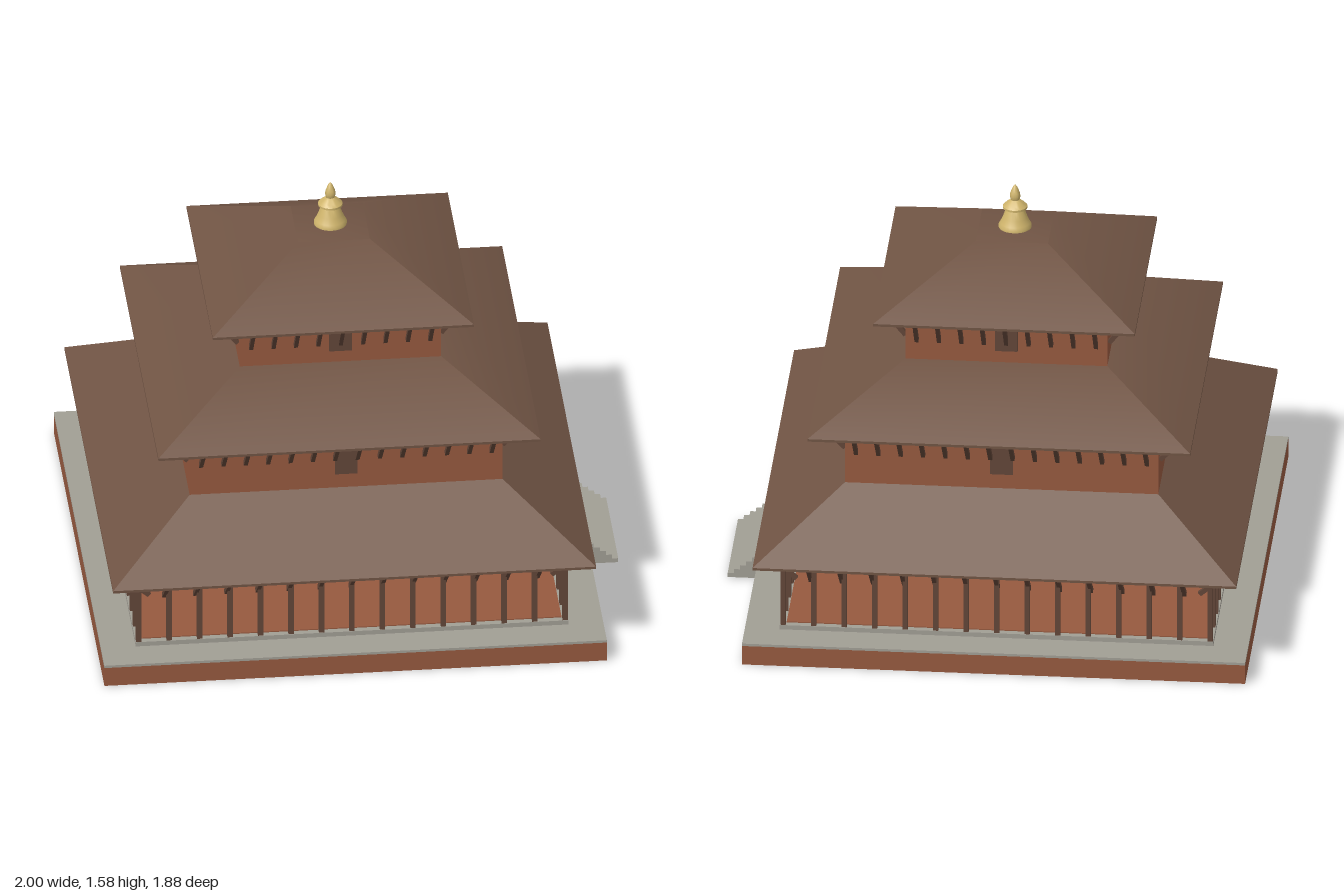
import * as THREE from 'three';
import { toCreasedNormals } from 'three/addons/utils/BufferGeometryUtils.js';

const mat = (name, color) => {
  const m = new THREE.MeshStandardMaterial({ color });
  m.name = name;
  return m;
};

export function createModel() {
  const brick = mat('brick', 0x96593f);
  const stone = mat('stone', 0xa19e94);
  const timber = mat('timber', 0x624638);
  const tile = mat('roof tile', 0x705444);
  const gold = mat('gold', 0xd0b56c);

  const model = new THREE.Group();
  model.name = 'tieredTemple';
  const temple = new THREE.Group();
  temple.name = 'temple';
  temple.position.x = -0.0575;
  model.add(temple);

  const add = (name, geo, material, parent = temple) => {
    const m = new THREE.Mesh(geo, material);
    m.name = name;
    parent.add(m);
    return m;
  };
  const group = (name, parent = temple) => {
    const g = new THREE.Group();
    g.name = name;
    parent.add(g);
    return g;
  };
  // Square slab given by half width and bottom / top heights
  const slab = (name, half, y0, y1, material) => {
    const m = add(name, new THREE.BoxGeometry(half * 2, y1 - y0, half * 2), material);
    m.position.y = (y0 + y1) / 2;
    return m;
  };
  // Four copies of a side, turned around the vertical axis
  const fourSides = (name, build) => {
    const all = group(name);
    for (let i = 0; i < 4; i++) {
      const side = group(name + 'Side', all);
      side.rotation.y = (i * Math.PI) / 2;
      build(side, i);
    }
  };

  // Platform, plinth and gallery floor
  slab('platform', 0.9425, 0, 0.077, brick);
  slab('platformPaving', 0.9425, 0.077, 0.087, stone);
  slab('plinth', 0.812, 0.087, 0.105, stone);
  slab('galleryFloor', 0.788, 0.105, 0.109, brick);

  // Entrance steps on the +x side
  const steps = group('steps');
  for (let i = 0; i < 5; i++) {
    const h = 0.017 * (5 - i);
    const step = add('step', new THREE.BoxGeometry(0.023, h, 0.45), stone, steps);
    step.position.set(0.9425 + 0.023 * (i + 0.5), h / 2, 0);
  }

  // Brick storeys
  slab('groundCore', 0.346, 0.109, 0.37, brick);
  slab('middleStorey', 0.587, 0.58, 0.83, brick);
  slab('upperStorey', 0.378, 1.0, 1.205, brick);

  // Gallery posts, each side leaving its last corner to the next
  fourSides('galleryPosts', (side) => {
    for (let i = 0; i < 14; i++) {
      const post = add('post', new THREE.BoxGeometry(0.02, 0.264, 0.02), timber, side);
      post.position.set(-0.8 + (i * 1.6) / 14, 0.237, 0.8);
    }
  });

  // Hipped roofs with eave board and soffit
  const roof = (name, eave, top, y0, y1) => {
    const geo = new THREE.CylinderGeometry(top * Math.SQRT2, eave * Math.SQRT2, y1 - y0, 4, 1);
    geo.rotateY(Math.PI / 4);
    add(name, toCreasedNormals(geo, THREE.MathUtils.degToRad(32)), tile).position.y = (y0 + y1) / 2;
    slab(name + 'EaveBoard', eave, y0 - 0.01, y0, tile);
    slab(name + 'Soffit', eave - 0.02, y0 - 0.018, y0 - 0.01, timber);
  };
  roof('lowerRoof', 0.906, 0.585, 0.386, 0.6);
  roof('middleRoof', 0.717, 0.378, 0.838, 1.02);
  roof('upperRoof', 0.49, 0.135, 1.215, 1.4);

  // Slanted eave struts: inner foot (r0, y0) to outer head (r1, y1)
  const struts = (name, counts, span, r0, y0, r1, y1) => {
    const len = Math.hypot(r1 - r0, y1 - y0);
    const geo = new THREE.BoxGeometry(0.015, len, 0.018);
    fourSides(name, (side, s) => {
      const n = counts[s % 2];
      const half = span[s % 2];
      for (let i = 0; i < n; i++) {
        const strut = add('strut', geo, timber, side);
        strut.position.set(-half + (2 * half * i) / (n - 1), (y0 + y1) / 2, (r0 + r1) / 2);
        strut.rotation.x = Math.atan2(r1 - r0, y1 - y0);
      }
    });
  };
  struts('lowerStruts', [13, 14], [0.7, 0.745], 0.755, 0.27, 0.88, 0.376);
  struts('middleStruts', [14, 14], [0.545, 0.545], 0.59, 0.725, 0.695, 0.83);
  struts('upperStruts', [9, 9], [0.336, 0.336], 0.381, 1.1, 0.468, 1.205);

  // Window with a wider lintel in the middle of each wall
  const windows = (name, r, y0, y1) => fourSides(name, (side) => {
    const pane = add('window', new THREE.BoxGeometry(0.085, y1 - y0, 0.009), timber, side);
    pane.position.set(0, (y0 + y1) / 2, r + 0.0045);
    const lintel = add('lintel', new THREE.BoxGeometry(0.115, 0.016, 0.012), timber, side);
    lintel.position.set(0, y1, r + 0.006);
  });
  windows('middleWindows', 0.587, 0.66, 0.79);
  windows('upperWindows', 0.378, 1.07, 1.187);

  // Gilded finial
  const profile = [
    [0, 1.398], [0.062, 1.398], [0.062, 1.408], [0.056, 1.418], [0.046, 1.44],
    [0.036, 1.468], [0.033, 1.474], [0.046, 1.478], [0.046, 1.486], [0.036, 1.496],
    [0.024, 1.506], [0.016, 1.512], [0.02, 1.525], [0.018, 1.54], [0.008, 1.565], [0, 1.575],
  ].map(([r, y]) => new THREE.Vector2(r, y));
  add('finial', toCreasedNormals(new THREE.LatheGeometry(profile, 24), 0.6), gold);

  return model;
}
